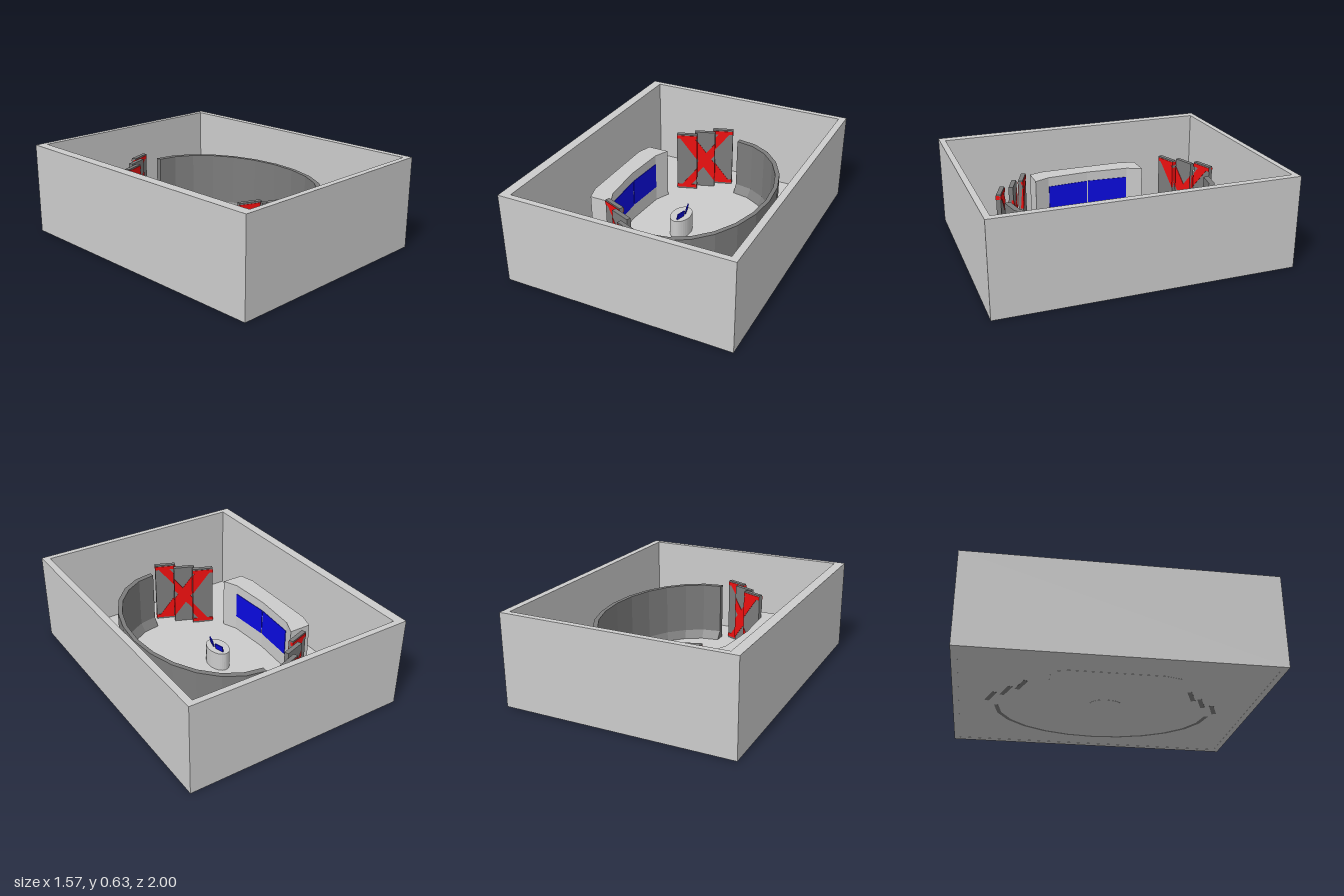
import * as THREE from 'three';

const mat = (color) => new THREE.MeshStandardMaterial({ color, flatShading: true, side: THREE.DoubleSide });
const grey = mat(0xcccccc), dark = mat(0x7c7c7c), red = mat(0xef1010), blue = mat(0x0a0ae0);

function add(parent, name, geometry, material, x = 0, y = 0, z = 0) {
  const mesh = new THREE.Mesh(geometry, material);
  mesh.name = name;
  mesh.position.set(x, y, z);
  parent.add(mesh);
  return mesh;
}

// Upright prism from a floor plan given as [x, z] points
const plan = (points) => new THREE.Shape(points.map(([x, z]) => new THREE.Vector2(x, -z)));
function prism(shape, height) {
  const g = new THREE.ExtrudeGeometry(shape, { depth: height, bevelEnabled: false, curveSegments: 16 });
  return g.rotateX(-Math.PI / 2);
}
const rect = (x0, x1, z) => [[x0, -z], [x0, z], [x1, z], [x1, -z]];

// Sweeps a closed [inset, y] profile round a half ellipse
function sweptWall(profile, cx, a, b, segments) {
  const pos = [], index = [], n = profile.length;
  for (let i = 0; i <= segments; i++) {
    const t = -Math.PI / 2 + (i / segments) * Math.PI;
    for (const [inset, y] of profile) {
      pos.push(cx + (a - inset * 0.7) * Math.cos(t), y, (b - inset) * Math.sin(t));
    }
  }
  for (let i = 0; i < segments; i++) {
    for (let j = 0; j < n; j++) {
      const p = i * n + j, q = i * n + (j + 1) % n;
      index.push(p, q, p + n, q, q + n, p + n);
    }
  }
  // End caps
  const last = segments * n;
  for (let j = 1; j < n - 1; j++) {
    index.push(0, j + 1, j, last, last + j, last + j + 1);
  }
  const g = new THREE.BufferGeometry();
  g.setAttribute('position', new THREE.Float32BufferAttribute(pos, 3));
  g.setIndex(index);
  g.computeVertexNormals();
  return g;
}

// Keeps the part of a convex polygon where sign * x <= sign * limit
function clip(points, limit, sign) {
  const out = [];
  points.forEach((p, i) => {
    const q = points[(i + 1) % points.length];
    const dp = sign * (limit - p[0]), dq = sign * (limit - q[0]);
    if (dp >= 0) out.push(p);
    if (dp * dq < 0) {
      const t = dp / (dp - dq);
      out.push([limit, p[1] + (q[1] - p[1]) * t]);
    }
  });
  return out;
}

const W = 0.15, H = 0.46, T = 0.03;
// Crossed bands with flared ends, spread over three panels
const bands = [
  [[-0.21, 0.44], [-0.1, 0.44], [0.21, 0.02], [0.1, 0.02]],
  [[0.21, 0.44], [0.13, 0.44], [-0.2, 0.02], [-0.13, 0.02]],
];
for (const y of [0.015, 0.425]) {
  for (const s of [-1, 1]) {
    bands.push([[s * 0.225, y], [s * 0.075, y], [s * 0.075, y + 0.025], [s * 0.225, y + 0.025]]);
  }
}

function panelSet(name, centres, angle) {
  const set = new THREE.Group();
  set.name = name;
  centres.forEach(([x, z], i) => {
    const panel = new THREE.Group();
    panel.name = 'panel';
    panel.position.set(x, 0, z);
    panel.rotation.y = angle;
    add(panel, 'panelBoard', new THREE.BoxGeometry(W, H, T), dark, 0, H / 2, 0);
    const mid = (i - 1) * W;
    for (const band of bands) {
      const piece = clip(clip(band, mid + W / 2, 1), mid - W / 2, -1);
      if (piece.length < 3) continue;
      const shape = new THREE.Shape(piece.map(([px, py]) => new THREE.Vector2(px - mid, py)));
      const depth = T + 0.006;
      const g = new THREE.ExtrudeGeometry(shape, { depth, bevelEnabled: false });
      add(panel, 'crossBand', g, red, 0, 0, -depth / 2);
    }
    set.add(panel);
  });
  return set;
}

export function createModel() {
  const model = new THREE.Group();
  model.name = 'studioSet';

  // Open-topped room
  const ring = plan(rect(-0.787, 0.787, 1));
  ring.holes.push(plan(rect(-0.72, 0.74, 0.96)));
  add(model, 'roomWalls', prism(ring, 0.63), grey);
  add(model, 'floor', new THREE.BoxGeometry(1.5, 0.003, 1.96), grey, 0.01, 0.0025, 0);

  // Curved backdrop with a sloping skirt at its inner foot
  const profile = [[0, 0], [0, 0.42], [0.04, 0.42], [0.04, 0.06], [0.085, 0.003]];
  add(model, 'curvedBackdrop', sweptWall(profile, 0.07, 0.525, 0.73, 12), dark);

  // Screen stand with a shallow curved face and splayed ends
  const stand = [[-0.52, -0.405], [-0.55, -0.3], [-0.55, 0.3], [-0.52, 0.405],
    [-0.365, 0.405], [-0.41, 0.3], [-0.43, 0], [-0.41, -0.3]];
  stand.push([-0.365, -0.405]);
  add(model, 'screenStand', prism(plan(stand), 0.373), grey);
  for (const s of [-1, 1]) {
    const screen = add(model, 'wallScreen', new THREE.BoxGeometry(0.006, 0.19, 0.292), blue, -0.419, 0.21, s * 0.15);
    screen.rotation.y = s * Math.atan2(0.02, 0.3);
  }

  // Decorated panels, staggered on both sides
  model.add(panelSet('backPanels', [[-0.285, -0.57], [-0.18, -0.662], [-0.075, -0.757]], 0.33));
  model.add(panelSet('frontPanels', [[-0.257, 0.53], [-0.152, 0.622], [-0.053, 0.728]], -0.39));

  // Oval desk with two small tilted monitors
  const desk = new THREE.CylinderGeometry(1, 1, 0.14, 32).scale(0.07, 1, 0.105);
  add(model, 'ovalDesk', desk, grey, -0.05, 0.07, 0);
  for (const s of [-1, 1]) {
    const m = add(model, 'deskMonitor', new THREE.BoxGeometry(0.008, 0.045, 0.068), blue, -0.03, 0.163, s * 0.047);
    m.rotation.order = 'YXZ';
    m.rotation.set(0, -s * 0.27, -0.2);
  }
  return model;
}
